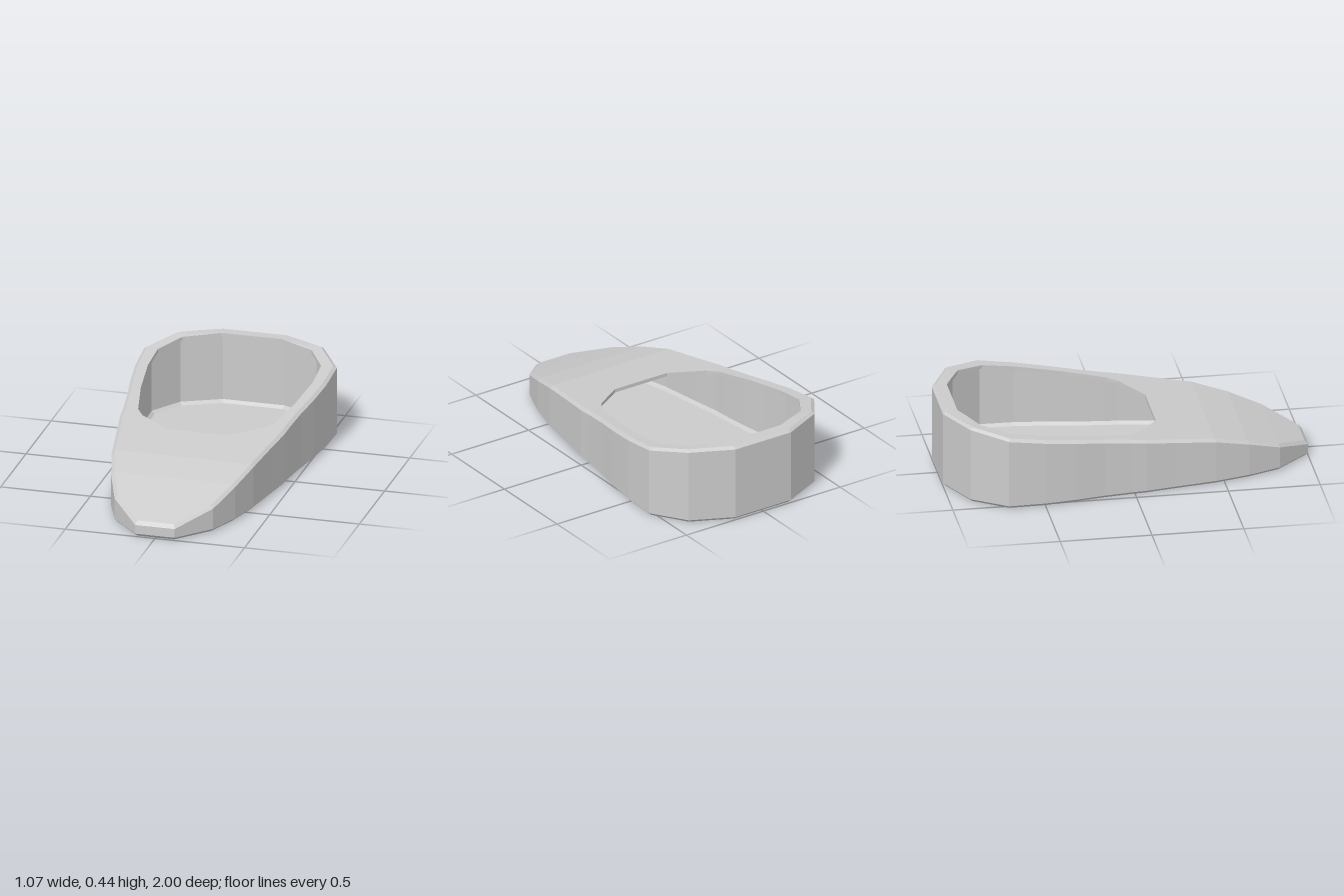
import * as THREE from 'three';

// Half outlines, back to front, as [half width, z]
const OUTLINE = [[.18, -1], [.41, -.89], [.537, -.7], [.533, -.5], [.512, -.33], [.485, -.17],
  [.466, -.02], [.46, .06], [.432, .22], [.395, .45], [.345, .64], [.275, .82], [.11, 1]];
const OPENING = [[.17, -.92], [.36, -.83], [.455, -.68], [.46, -.5], [.43, -.25], [.38, -.02], [.34, .04], [.17, .16]];
// Side profile of the top, as [height, z]
const PROFILE = [[.437, -1], [.437, -.89], [.408, -.7], [.318, -.02], [.258, .45], [.208, .64], [.147, .82], [.08, 1]];

// Linear lookup of the first value at a given z
function at(list, z) {
  if (z <= list[0][1]) return list[0][0];
  for (let i = 1; i < list.length; i++) {
    const [a, za] = list[i - 1], [b, zb] = list[i];
    if (z <= zb) return a + (b - a) * (z - za) / (zb - za);
  }
  return list[list.length - 1][0];
}

// Move a half outline inwards by d with mitred corners
function inset(half, d) {
  const mirror = ([x, z]) => [-x, z];
  const pts = [mirror(half[0]), ...half, mirror(half[half.length - 1])];
  const normal = (p, q) => new THREE.Vector2(p[1] - q[1], q[0] - p[0]).normalize();
  return half.map(([x, z], i) => {
    const n1 = normal(pts[i], pts[i + 1]), n2 = normal(pts[i + 1], pts[i + 2]);
    const k = d / (1 + n1.dot(n2));
    return [x + (n1.x + n2.x) * k, z + (n1.y + n2.y) * k];
  });
}

// Height rules
const flat = (y) => () => y;
const below = (d) => (z) => at(PROFILE, z) - d;

// Closed ring of points from a half outline and a height rule
function ring(half, height) {
  const right = half.map(([x, z]) => [x, height(z), z]);
  return [...right, ...right.map(([x, y, z]) => [-x, y, z]).reverse()];
}

function quad(out, a, b, c, d, flip) {
  out.push(...(flip ? [a, c, b, a, d, c] : [a, b, c, a, c, d]).flat());
}

// Wall between a lower and an upper ring, facing outwards unless flipped
function band(out, low, high, flip = false) {
  low.forEach((p, i) => {
    const j = (i + 1) % low.length;
    quad(out, p, high[i], high[j], low[j], flip);
  });
}

// Cross strips filling an outline, with an optional hole; faces up unless flipped
function cap(out, half, height, hole = null, flip = false) {
  const zs = [...half, ...(hole || [])].map((p) => p[1]).sort((a, b) => a - b);
  for (let i = 1; i < zs.length; i++) {
    const z0 = zs[i - 1], z1 = zs[i], mid = (z0 + z1) / 2;
    if (z1 - z0 < 1e-6) continue;
    const cut = hole && mid > hole[0][1] && mid < hole[hole.length - 1][1];
    const inner = (z) => (cut ? at(hole, z) : 0);
    for (const s of [1, -1]) {
      const p = (x, z) => [s * x, height(z), z];
      quad(out, p(inner(z0), z0), p(inner(z1), z1), p(at(half, z1), z1), p(at(half, z0), z0), flip !== (s < 0));
    }
  }
}

function part(name, build) {
  const out = [];
  build(out);
  const geometry = new THREE.BufferGeometry();
  geometry.setAttribute('position', new THREE.Float32BufferAttribute(out, 3));
  geometry.computeVertexNormals();
  const material = new THREE.MeshStandardMaterial({ color: 0xcccccc, flatShading: true });
  const mesh = new THREE.Mesh(geometry, material);
  mesh.name = name;
  return mesh;
}

export function createModel() {
  const group = new THREE.Group();
  group.name = 'slipper';
  const base = inset(OUTLINE, .016), rim = inset(OUTLINE, .018);
  const cavity = inset(OUTLINE, .045), floor = inset(OUTLINE, .062);

  // Outer wall with chamfered bottom and top edges
  group.add(part('outerWall', (o) => {
    const foot = ring(OUTLINE, flat(.016)), shoulder = ring(OUTLINE, below(.014));
    band(o, ring(base, flat(0)), foot);
    band(o, foot, shoulder);
    band(o, shoulder, ring(rim, below(0)));
  }));
  // Underside of the sole
  group.add(part('sole', (o) => cap(o, base, flat(0), null, true)));
  // Sloping top with the foot opening, and the edge of that opening
  group.add(part('upper', (o) => {
    cap(o, rim, below(0), OPENING);
    band(o, ring(OPENING, below(.02)), ring(OPENING, below(0)), true);
  }));
  // Hollow inside, reaching under the toe cover
  group.add(part('lining', (o) => {
    const foot = ring(cavity, flat(.042));
    cap(o, cavity, below(.02), OPENING, true);
    band(o, foot, ring(cavity, below(.02)), true);
    band(o, ring(floor, flat(.026)), foot, true);
  }));
  // Inner floor
  group.add(part('insole', (o) => cap(o, floor, flat(.026))));
  return group;
}
